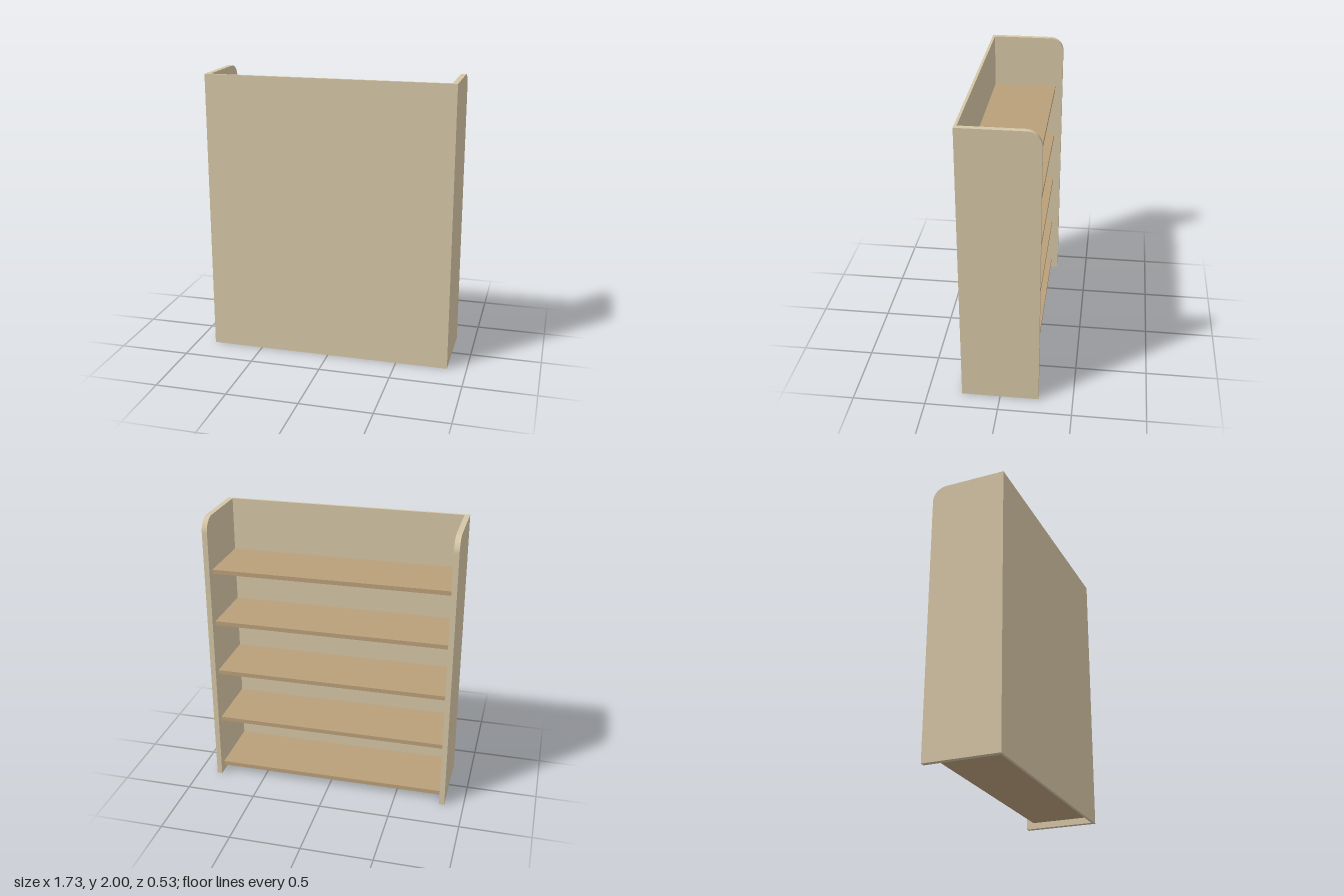
import * as THREE from 'three';

export function createModel() {
  const model = new THREE.Group();
  model.name = 'bookcase';

  const frameMat = new THREE.MeshStandardMaterial({ color: 0xd4c5a5 });
  frameMat.name = 'pale cream wood';
  const shelfMat = new THREE.MeshStandardMaterial({ color: 0xb99f7a });
  shelfMat.name = 'tan wood';

  const height = 2, halfW = 0.865, halfD = 0.265;
  const sideT = 0.037, backT = 0.018, radius = 0.1;
  const innerW = 2 * (halfW - sideT);

  const addBox = (name, w, h, d, y, z, mat) => {
    const mesh = new THREE.Mesh(new THREE.BoxGeometry(w, h, d), mat);
    mesh.name = name;
    mesh.position.set(0, y, z);
    model.add(mesh);
  };

  // Side panel profile: shape x runs towards the open side (-z), with one rounded top corner
  const profile = new THREE.Shape();
  profile.moveTo(-halfD, 0);
  profile.lineTo(halfD, 0);
  profile.lineTo(halfD, height - radius);
  profile.absarc(halfD - radius, height - radius, radius, 0, Math.PI / 2, false);
  profile.lineTo(-halfD, height);
  profile.closePath();
  const sideGeo = new THREE.ExtrudeGeometry(profile, {
    depth: sideT, bevelEnabled: false, curveSegments: 12,
  });
  sideGeo.translate(0, 0, -sideT / 2);
  sideGeo.rotateY(Math.PI / 2);

  for (const [name, s] of [['leftSide', 1], ['rightSide', -1]]) {
    const side = new THREE.Mesh(sideGeo, frameMat);
    side.name = name;
    side.position.x = s * (halfW - sideT / 2);
    model.add(side);
  }

  // Full-height closed panel between the sides
  addBox('backPanel', innerW, height, backT, height / 2, halfD - backT / 2, frameMat);

  // Five evenly spaced shelves, set back from the open edge
  const shelfT = 0.03, zOpen = -0.212, zPanel = halfD - backT;
  for (let i = 0; i < 5; i++) {
    addBox(`shelf${i + 1}`, innerW, shelfT, zPanel - zOpen,
      0.06 + i * 0.387, (zPanel + zOpen) / 2, shelfMat);
  }

  return model;
}
